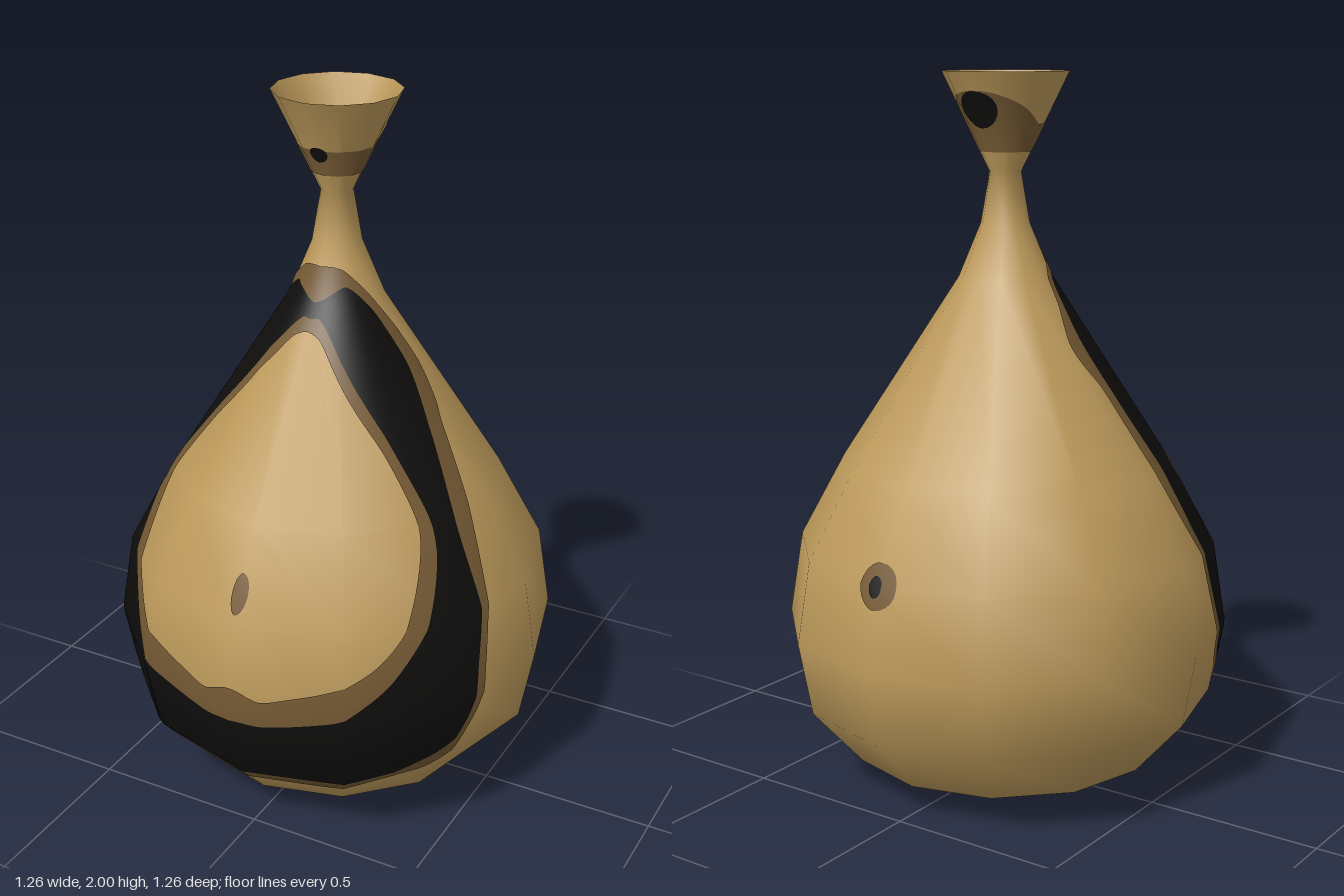
import * as THREE from 'three';

const SIDES = 12;
const STEP = 360 / SIDES;
// Sack outline from the base up: [radius, height]
const PROFILE = [
  [0, 0.005], [0.275, 0.03], [0.445, 0.085], [0.59, 0.25], [0.628, 0.457], [0.59, 0.69],
  [0.46, 0.93], [0.13, 1.44], [0.068, 1.59], [0.044, 1.73], [0.175, 2.0],
];

const material = (name, color) => {
  const m = new THREE.MeshStandardMaterial({ color, side: THREE.DoubleSide });
  m.name = name;
  return m;
};

// Smooth profile normals, one per outline point
const PROFILE_NORMALS = PROFILE.map((p, i) => {
  const n = new THREE.Vector2();
  for (const j of [i - 1, i]) {
    if (j < 0 || j + 1 >= PROFILE.length) continue;
    const dr = PROFILE[j + 1][0] - PROFILE[j][0], dy = PROFILE[j + 1][1] - PROFILE[j][1];
    n.add(new THREE.Vector2(dy, -dr).normalize());
  }
  return n.normalize();
});

// Point and normal on the twelve-sided sack; angle in degrees from the front
function onSack(angle, y, lift) {
  let i = 0;
  while (i < PROFILE.length - 2 && y > PROFILE[i + 1][1]) i++;
  const [r0, y0] = PROFILE[i], [r1, y1] = PROFILE[i + 1];
  const f = THREE.MathUtils.clamp((y - y0) / (y1 - y0), 0, 1);
  const r = r0 + (r1 - r0) * f;
  const n2 = PROFILE_NORMALS[i].clone().lerp(PROFILE_NORMALS[i + 1], f).normalize();
  const k = Math.floor(angle / STEP), g = angle / STEP - k;
  const corner = (c) => {
    const a = THREE.MathUtils.degToRad(c * STEP);
    return new THREE.Vector3(Math.sin(a), 0, Math.cos(a));
  };
  const dir = corner(k).lerp(corner(k + 1), g);
  const position = dir.clone().multiplyScalar(r).setY(y0 + (y1 - y0) * f);
  const normal = dir.normalize().multiplyScalar(n2.x).setY(n2.y);
  return { position: position.addScaledVector(normal, lift), normal };
}

// Thin painted sheet that follows the sack; fn(u, v) gives [angle, height]
function paint(name, mat, nu, nv, lift, fn) {
  const pos = [], nor = [], index = [], points = [];
  for (let i = 0; i <= nu; i++) {
    for (let j = 0; j <= nv; j++) {
      const [angle, y] = fn(i / nu, j / nv);
      const s = onSack(angle, y, lift);
      points.push(s);
      pos.push(...s.position.toArray());
      nor.push(...s.normal.toArray());
    }
  }
  const face = (a, b, c) => {
    const ab = points[b].position.clone().sub(points[a].position);
    const ac = points[c].position.clone().sub(points[a].position);
    if (ab.cross(ac).dot(points[a].normal) < 0) index.push(a, c, b);
    else index.push(a, b, c);
  };
  for (let i = 0; i < nu; i++) {
    for (let j = 0; j < nv; j++) {
      const a = i * (nv + 1) + j, b = a + nv + 1;
      face(a, b, a + 1);
      face(b, b + 1, a + 1);
    }
  }
  const geo = new THREE.BufferGeometry();
  geo.setAttribute('position', new THREE.Float32BufferAttribute(pos, 3));
  geo.setAttribute('normal', new THREE.Float32BufferAttribute(nor, 3));
  geo.setIndex(index);
  const mesh = new THREE.Mesh(geo, mat);
  mesh.name = name;
  return mesh;
}

// Oval spot: centre angle and height, half width in degrees, half height
const spot = (name, mat, lift, angle, y, w, h) =>
  paint(name, mat, 20, 6, lift, (u, v) => {
    const a = u * Math.PI * 2;
    return [angle + Math.cos(a) * w * v, y + Math.sin(a) * h * v];
  });

// Closed loop, mirrored left to right, from half of its [angle, height] points
function loop(half) {
  const mirrored = half.slice(1, -1).reverse().map(([a, y]) => [-a, y]);
  const pts = [...half, ...mirrored].map(([a, y]) => new THREE.Vector3(a / 100, y, 0));
  const curve = new THREE.CatmullRomCurve3(pts, true, 'catmullrom', 0.4);
  return (t) => curve.getPoint(t % 1);
}

export function createModel() {
  const tan = material('tan cloth', 0xbd9a5b);
  const brown = material('brown edge', 0x755a34);
  const black = material('black marking', 0x0f0e0d);
  const model = new THREE.Group();
  model.name = 'tiedSack';

  // Cloth body with pinched neck and open flared mouth
  const body = new THREE.Mesh(
    new THREE.LatheGeometry(PROFILE.map(([r, y]) => new THREE.Vector2(r, y)), SIDES), tan);
  body.name = 'sackBody';
  model.add(body);

  // Teardrop ring on the front: brown, black, brown
  const loops = [
    [[0, 1.54], [40, 1.53], [80, 1.44], [97, 1.28], [87, 1.13], [80, 0.92],
      [74, 0.7], [71, 0.55], [67, 0.39], [56, 0.27], [30, 0.18], [0, 0.175]],
    [[0, 1.45], [40, 1.49], [72, 1.42], [83, 1.29], [78, 1.13], [72, 0.92],
      [71, 0.7], [68, 0.55], [64, 0.39], [54, 0.29], [32, 0.22], [0, 0.21]],
    [[0, 1.41], [10, 1.41], [22, 1.37], [36, 1.28], [52, 1.13], [61, 0.92],
      [53, 0.7], [42, 0.55], [30, 0.47], [18, 0.43], [8, 0.41], [0, 0.42]],
    [[0, 1.38], [12, 1.365], [20, 1.33], [32, 1.25], [49, 1.1], [56, 0.92],
      [47, 0.7], [38, 0.6], [25, 0.54], [16, 0.51], [8, 0.49], [0, 0.52]],
  ].map(loop);
  const bands = [['ringOuterEdge', brown, 6], ['ringBand', black, 24], ['ringInnerEdge', brown, 6]];
  bands.forEach(([name, mat, nv], i) => {
    model.add(paint(name, mat, 264, nv, 0.004, (u, v) => {
      const p = loops[i](u).lerp(loops[i + 1](u), v);
      return [p.x * 100, p.y];
    }));
  });

  // Stain around the mouth, taller at the back
  model.add(paint('mouthStain', brown, 72, 6, 0.002, (u, v) => {
    const angle = u * 360;
    const top = 1.86 + 0.09 * Math.max(0, -Math.cos(THREE.MathUtils.degToRad(angle)));
    return [angle, 1.785 + (top - 1.785) * v];
  }));
  model.add(spot('mouthBackSpot', black, 0.005, 180, 1.9, 26, 0.05));
  model.add(spot('mouthFrontSpot', black, 0.005, 0, 1.85, 14, 0.022));

  // Small spots on the belly and back
  model.add(spot('bellySpot', brown, 0.003, 0, 0.77, 2.6, 0.05));
  model.add(spot('backSpot', brown, 0.003, 180, 0.69, 6, 0.06));
  model.add(spot('backSpotCentre', black, 0.006, 180, 0.69, 2, 0.028));

  // Streak under the base, running towards the front
  model.add(paint('baseStreak', black, 6, 12, 0.003, (u, v) => [(u - 0.5) * 12, 0.006 + 0.026 * v]));

  return model;
}
